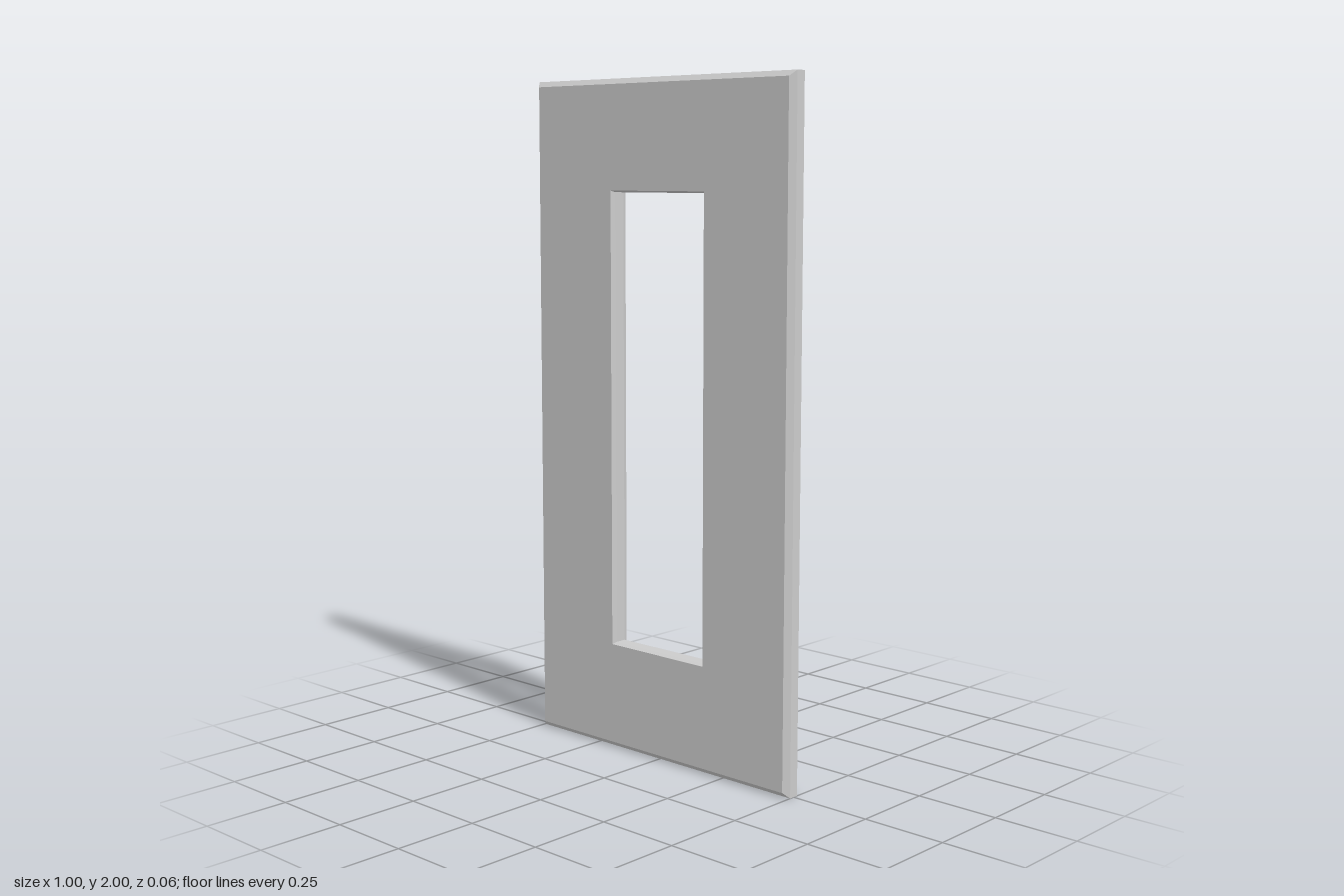
import * as THREE from 'three';

// Closed band of rectangular rings [halfWidth, halfHeight, z], each joined to the next
function ringLoft(rings) {
  const corners = [[1, -1], [1, 1], [-1, 1], [-1, -1]];
  const pos = [];
  const point = (i, j) => {
    const [w, h, z] = rings[i % rings.length];
    const [sx, sy] = corners[j % 4];
    return [w * sx, h * sy, z];
  };
  for (let i = 0; i < rings.length; i++) {
    for (let j = 0; j < 4; j++) {
      const a = point(i, j), b = point(i, j + 1);
      const c = point(i + 1, j + 1), d = point(i + 1, j);
      pos.push(...a, ...b, ...c, ...a, ...c, ...d);
    }
  }
  const geo = new THREE.BufferGeometry();
  geo.setAttribute('position', new THREE.Float32BufferAttribute(pos, 3));
  geo.computeVertexNormals();
  return geo;
}

export function createModel() {
  const group = new THREE.Group();
  const W = 0.5, H = 1, D = 0.031, bevel = 0.016; // outer half sizes and chamfer
  const w = 0.178, h = 0.674, lip = 0.005, lipDepth = 0.014; // window opening and its slim chamfer

  const panel = new THREE.Mesh(
    ringLoft([
      // outer edge, back to front
      [W - bevel, H - bevel, -D],
      [W, H, -D + bevel],
      [W, H, D - bevel],
      [W - bevel, H - bevel, D],
      // opening, front to back
      [w + lip, h + lip, D],
      [w, h, D - lipDepth],
      [w, h, -D + lipDepth],
      [w + lip, h + lip, -D],
    ]),
    new THREE.MeshStandardMaterial({ color: 0xcccccc, flatShading: true })
  );
  panel.name = 'framePanel';
  panel.position.y = H;
  group.add(panel);
  return group;
}
